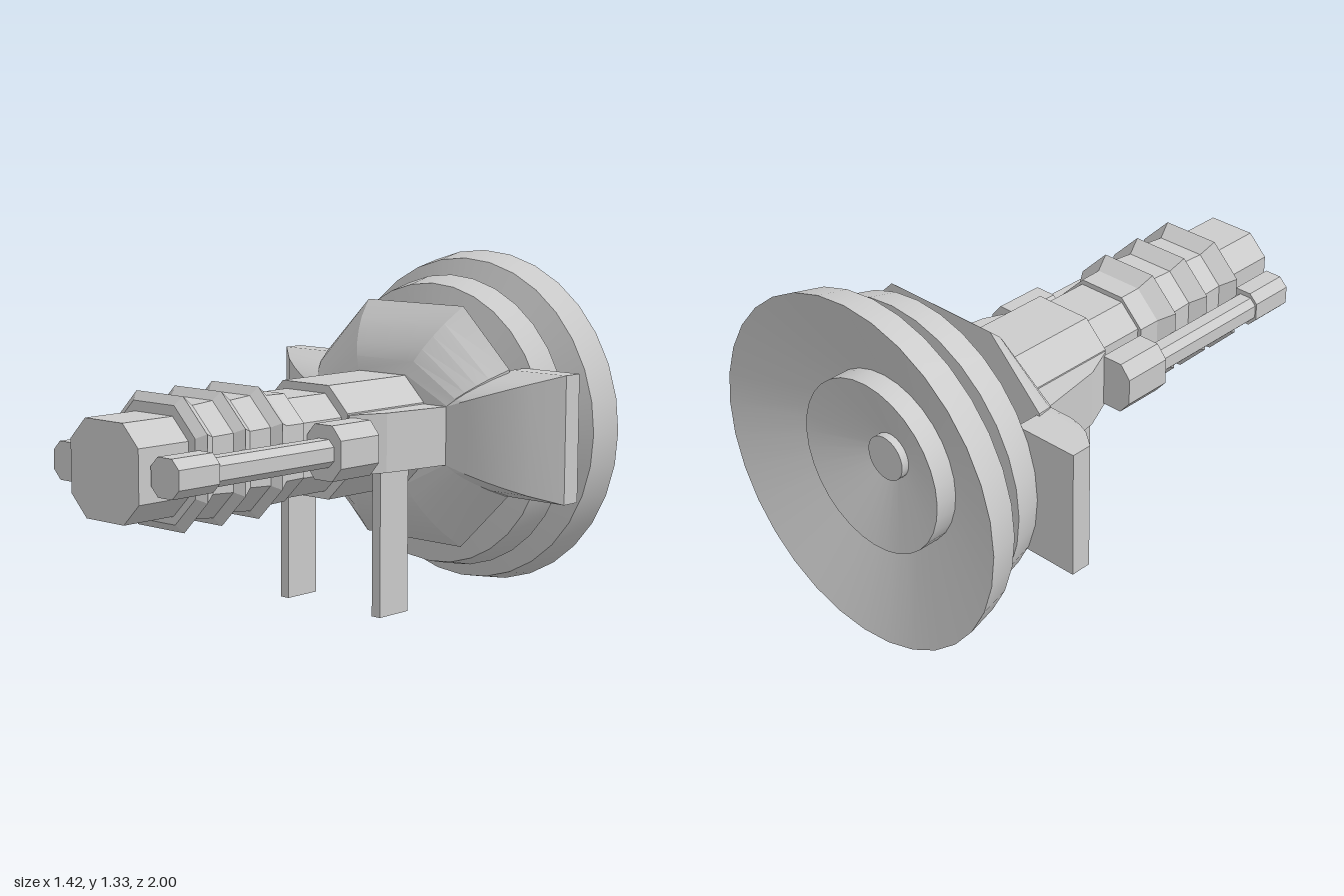
import * as THREE from 'three';
import { toCreasedNormals } from 'three/addons/utils/BufferGeometryUtils.js';

const AXIS_Y = 0.68;
const material = new THREE.MeshStandardMaterial({ color: 0xcccccc, side: THREE.DoubleSide });

function addMesh(parent, name, geometry) {
  const mesh = new THREE.Mesh(geometry, material);
  mesh.name = name;
  parent.add(mesh);
  return mesh;
}

// Smooth along the flares, sharp at the eight corners
function fromTriangles(corners) {
  const geometry = new THREE.BufferGeometry();
  geometry.setAttribute('position', new THREE.Float32BufferAttribute(corners.flat(), 3));
  return toCreasedNormals(geometry, 0.2);
}

// Eight-sided body through sections ordered back to front:
// z, half width, half height, half length of the top side, half length of the flank
function octagonLoft(sections) {
  const rings = sections.map(({ z, hx, hy, ex, ey }) => [
    [hx, -ey], [hx, ey], [ex, hy], [-ex, hy], [-hx, ey], [-hx, -ey], [-ex, -hy], [ex, -hy],
  ].map(([x, y]) => [x, y, z]));
  const tris = [];
  for (let s = 0; s < rings.length - 1; s++) {
    for (let i = 0; i < 8; i++) {
      const j = (i + 1) % 8;
      const [a, b, c, d] = [rings[s][i], rings[s][j], rings[s + 1][j], rings[s + 1][i]];
      tris.push(a, b, c, a, c, d);
    }
  }
  const back = rings[0], front = rings[rings.length - 1];
  for (let i = 1; i < 7; i++) {
    tris.push(front[0], front[i], front[i + 1], back[0], back[i + 1], back[i]);
  }
  return fromTriangles(tris);
}

const ring = (z, r, edge = 0.5) => ({ z, hx: r, hy: r, ex: r * edge, ey: r * edge });

function addPrism(parent, name, x, r, z0, z1, edge = 0.5) {
  const mesh = addMesh(parent, name, octagonLoft([ring(z0, r, edge), ring(z1, r, edge)]));
  mesh.position.set(x, AXIS_Y, 0);
  return mesh;
}

// Flare of the shield: fraction of growth and depth
const flare = [[0, -0.39], [0.2, -0.406], [0.38, -0.43], [0.57, -0.465], [0.75, -0.505], [1, -0.58]];
const mix = THREE.MathUtils.lerp;

export function createModel() {
  const model = new THREE.Group();
  model.name = 'engineCannon';

  // Barrel and body along the main axis
  addPrism(model, 'body', 0, 0.21, -0.4, 0.03, 0.55);
  addPrism(model, 'neck', 0, 0.18, 0.02, 0.26, 0.55);
  addPrism(model, 'muzzle', 0, 0.172, 0.75, 1, 0.55);
  const ribs = [ring(0.24, 0.195)];
  for (const z of [0.39, 0.57, 0.748]) {
    ribs.push(ring(z - 0.06, 0.197), ring(z, 0.235), ring(z + 0.028, 0.205));
  }
  addMesh(model, 'ribbedBarrel', octagonLoft(ribs)).position.y = AXIS_Y + 0.004;

  // Flared shield behind the body
  const shield = flare.map(([f, z]) => ({
    z,
    hx: mix(0.32, 0.465, f), hy: mix(0.21, 0.463, f),
    ex: mix(0.12, 0.24, f), ey: mix(0.11, 0.24, f),
  })).reverse();
  addMesh(model, 'flaredShield', octagonLoft(shield)).position.y = AXIS_Y + 0.003;

  // Stepped bell with its hollow back; radius and distance behind the centre
  const profile = [
    [0, 0.55], [0.388, 0.55], [0.388, 0.627], [0.55, 0.68], [0.577, 0.795], [0.45, 0.795],
    [0.638, 0.878], [0.664, 1], [0.33, 0.845], [0.33, 0.93], [0.085, 0.83], [0.085, 0.86], [0, 0.86],
  ].map(([r, d]) => new THREE.Vector2(r, d));
  const bell = new THREE.LatheGeometry(profile, 32).rotateX(-Math.PI / 2);
  addMesh(model, 'bell', toCreasedNormals(bell.toNonIndexed(), 0.35)).position.y = 0.665;

  // Parts that repeat on both sides
  for (const [name, sign] of [['left', 1], ['right', -1]]) {
    const side = new THREE.Group();
    side.name = name + 'Side';
    side.scale.x = sign;
    model.add(side);

    // Tapered cheek beside the body
    const outline = [[0.1, -0.025], [0.215, -0.025], [0.275, 0.11], [0.32, 0.395], [0.1, 0.395]];
    const cheekShape = new THREE.Shape(outline.map(([x, d]) => new THREE.Vector2(x, d)));
    const cheek = new THREE.ExtrudeGeometry(cheekShape, { depth: 0.22, bevelEnabled: false });
    addMesh(side, 'cheek', cheek.rotateX(-Math.PI / 2)).position.y = AXIS_Y - 0.11;

    // Curved arm sweeping out from the shield to an end block
    const tris = [];
    const rows = flare.map(([f, depth]) => {
      const h = mix(0.11, 0.24, f);
      const inner = mix(0.32, 0.46, f), outer = mix(0.32, 0.712, f);
      const z = depth - 0.02 * f ** 3;
      return [[inner, h, z], [outer, h, z], [outer, -h, z], [inner, -h, z]];
    });
    for (let i = 0; i < rows.length - 1; i++) {
      for (let k = 0; k < 3; k++) {
        const [a, b, c, d] = [rows[i][k], rows[i][k + 1], rows[i + 1][k + 1], rows[i + 1][k]];
        tris.push(a, b, c, a, c, d);
      }
    }
    addMesh(side, 'armFront', fromTriangles(tris)).position.y = AXIS_Y;
    addMesh(side, 'armBlock', new THREE.BoxGeometry(0.252, 0.48, 0.08))
      .position.set(0.586, AXIS_Y, -0.64);

    // Side gun: rear pod, rod and front pod
    addPrism(side, 'rearPod', 0.26, 0.1, 0.01, 0.21).scale.x = 0.85;
    addPrism(side, 'rod', 0.262, 0.05, 0.2, 0.78);
    addPrism(side, 'frontPod', 0.25, 0.068, 0.77, 0.955);

    // Leg
    addMesh(side, 'leg', new THREE.BoxGeometry(0.04, 0.56, 0.154)).position.set(0.235, 0.307, -0.176);
  }
  return model;
}
